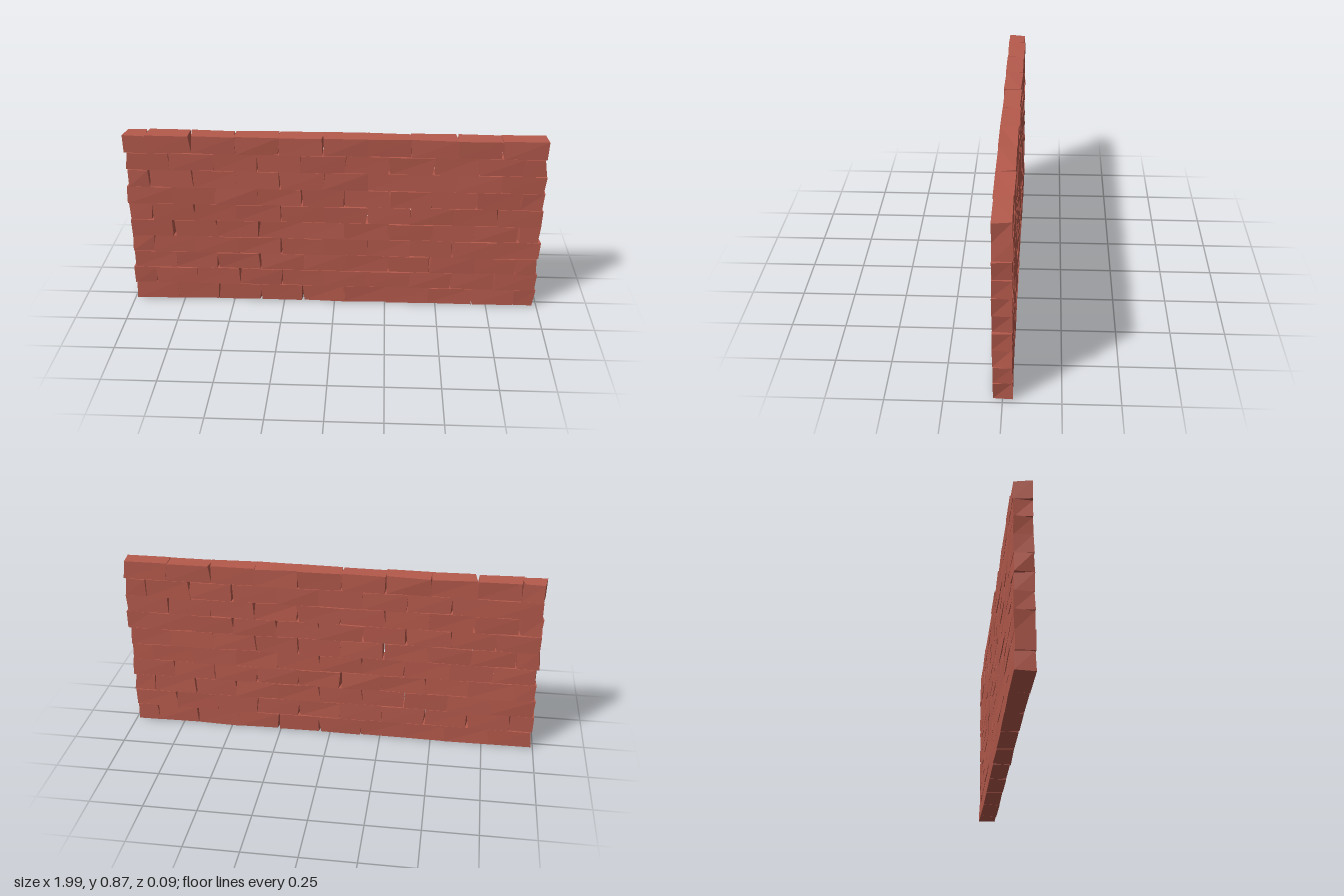
import * as THREE from 'three';

const ROWS = 10, PITCH_X = 0.2075, PITCH_Y = 0.087, DEPTH = 0.084;
const BASE = 0.005, HALF_WIDTH = 9.5 * PITCH_X / 2;

// Seeded generator returning values in -1..1
function makeJitter(seed) {
  return () => {
    seed = (seed * 1664525 + 1013904223) % 4294967296;
    return (seed / 4294967296) * 2 - 1;
  };
}

// Box whose eight corners are each nudged, so every brick is slightly skewed
function brickGeometry(width, jitter) {
  const geometry = new THREE.BoxGeometry(width, PITCH_Y - 0.001, DEPTH);
  const nudges = Array.from({ length: 8 }, () => [jitter() * 0.009, jitter() * 0.003, jitter() * 0.003]);
  const p = geometry.attributes.position;
  for (let i = 0; i < p.count; i++) {
    const corner = (p.getX(i) > 0 ? 1 : 0) + (p.getY(i) > 0 ? 2 : 0) + (p.getZ(i) > 0 ? 4 : 0);
    const [dx, dy, dz] = nudges[corner];
    p.setXYZ(i, p.getX(i) + dx, p.getY(i) + dy, p.getZ(i) + dz);
  }
  geometry.computeVertexNormals();
  return geometry;
}

export function createModel() {
  const wall = new THREE.Group();
  wall.name = 'brickWall';
  const material = new THREE.MeshStandardMaterial({ color: 0xb55a4c, flatShading: true });
  const jitter = makeJitter(17);

  // Running bond: the half brick alternates between right and left ends
  for (let row = 0; row < ROWS; row++) {
    const course = new THREE.Group();
    course.name = `course${row + 1}`;
    course.position.y = BASE + (row + 0.5) * PITCH_Y;
    const halfIndex = row % 2 ? 0 : 9;
    let x = -HALF_WIDTH;
    for (let i = 0; i < 10; i++) {
      const width = i === halfIndex ? PITCH_X / 2 : PITCH_X;
      const brick = new THREE.Mesh(brickGeometry(width - 0.001, jitter), material);
      brick.name = i === halfIndex ? 'halfBrick' : 'brick';
      brick.position.x = x + width / 2;
      course.add(brick);
      x += width;
    }
    wall.add(course);
  }
  return wall;
}
